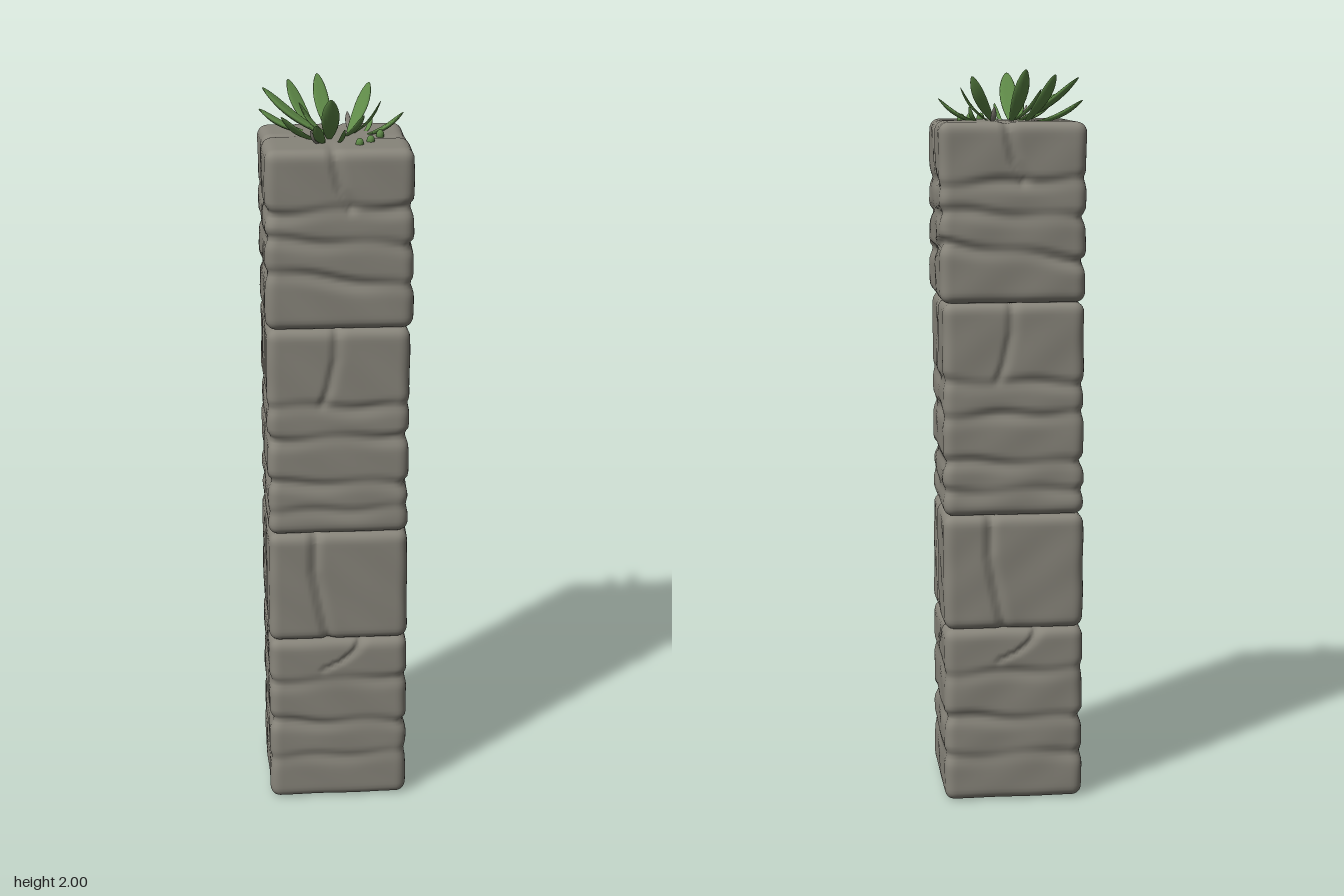
import * as THREE from 'three';
import { mergeVertices } from 'three/addons/utils/BufferGeometryUtils.js';

const clamp = THREE.MathUtils.clamp;
const TOP = 1.862;

// Each block: vertical range, half width, centre shift, strata seams [y, depth, tilt], crack path [u, y] top to bottom
const blocks = [
  { name: 'baseBlock', y0: 0, y1: 0.485, w: 0.193, shift: 0.004,
    seams: [[0.13, 0.007, 0.004], [0.235, 0.011, -0.005], [0.365, 0.008, 0.006]],
    crack: [[0.065, 0.49], [0.045, 0.45], [0.0, 0.415], [-0.04, 0.405]], crackDepth: 0.009 },
  { name: 'lowerBlock', y0: 0.485, y1: 0.802, w: 0.193, shift: 0.004,
    seams: [],
    crack: [[-0.07, 0.81], [-0.072, 0.69], [-0.055, 0.6], [-0.03, 0.48]], crackDepth: 0.014 },
  { name: 'middleBlock', y0: 0.802, y1: 1.382, w: 0.193, shift: 0.004,
    seams: [[0.872, 0.008, 0.003], [0.95, 0.011, -0.004], [1.08, 0.011, 0.003], [1.168, 0.010, -0.003]],
    crack: [[-0.008, 1.39], [-0.012, 1.3], [-0.03, 1.22], [-0.045, 1.18]], crackDepth: 0.009 },
  { name: 'topBlock', y0: 1.382, y1: TOP, w: 0.198, shift: 0.001,
    seams: [[1.52, 0.013, -0.024], [1.62, 0.010, -0.010], [1.705, 0.011, 0.008]],
    crack: [[-0.022, 1.87], [-0.012, 1.81], [0.0, 1.76], [0.03, 1.71]], crackDepth: 0.012 },
];

// Inward depth of the crack that repeats on all four faces
function crackDepthAt(b, x, y, z) {
  const u = Math.abs(z) >= Math.abs(x) ? (z > 0 ? x : -x) : (x > 0 ? -z : z);
  const p = b.crack;
  const last = p[p.length - 1];
  let i = 0;
  while (i < p.length - 2 && y < p[i + 1][1]) i++;
  const t = clamp((p[i][1] - y) / (p[i][1] - p[i + 1][1]), 0, 1);
  const cu = p[i][0] + (p[i + 1][0] - p[i][0]) * t;
  const fade = y < last[1] ? Math.exp(-(((last[1] - y) / 0.012) ** 2)) : 1;
  const d = u - cu;
  // sharp on one lip, soft on the other
  return b.crackDepth * fade * Math.exp(-((d / (d < 0 ? 0.009 : 0.017)) ** 2));
}

function seamDepthAt(b, x, y, z) {
  let depth = 0;
  b.seams.forEach(([sy, amount, tilt], k) => {
    const line = sy + tilt * clamp((x * z) / 0.038, -1, 1) + 0.005 * Math.sin(x * 24 + z * 19 + k * 2.1);
    const d = y - line;
    const vary = 0.8 + 0.3 * Math.sin(x * 17 - z * 23 + k * 1.7);
    depth += amount * vary * Math.exp(-((d / (d > 0 ? 0.011 : 0.02)) ** 2));
  });
  return depth;
}

// Worn stone block: finely divided box, rounded edges, carved seams and cracks
function makeBlock(b, material) {
  const h = b.y1 - b.y0, r = 0.028;
  const geo = new THREE.BoxGeometry(b.w * 2, h, b.w * 2, 44, Math.round(h / 0.0105), 44);
  const pos = geo.attributes.position;
  const p = new THREE.Vector3(), q = new THREE.Vector3();
  const mid = (b.y0 + b.y1) / 2;
  for (let i = 0; i < pos.count; i++) {
    p.fromBufferAttribute(pos, i);
    q.set(clamp(p.x, r - b.w, b.w - r), clamp(p.y, r - h / 2, h / 2 - r), clamp(p.z, r - b.w, b.w - r));
    p.sub(q).normalize().multiplyScalar(r).add(q);
    const y = p.y + mid;
    const reach = Math.max(Math.abs(p.x), Math.abs(p.z)) / b.w;
    const crack = crackDepthAt(b, p.x, y, p.z) * clamp((reach - 0.3) / 0.6, 0, 1);
    const wear = 0.0015 * (1 + Math.sin(p.x * 31 + y * 23) * Math.sin(p.z * 29 - y * 17));
    const s = 1 - (crack + seamDepthAt(b, p.x, y, p.z) + wear) / b.w;
    const sink = p.y > h / 2 - r ? crack * 0.5 : 0;
    pos.setXYZ(i, p.x * s - b.shift, y - sink, p.z * s + b.shift);
  }
  geo.deleteAttribute('uv');
  geo.deleteAttribute('normal');
  const smooth = mergeVertices(geo, 1e-5);
  smooth.computeVertexNormals();
  const mesh = new THREE.Mesh(smooth, material);
  mesh.name = b.name;
  return mesh;
}

// Fleshy leaf: a sphere stretched along a rising arc from base to tip
function makeLeaf([bx, bz, tx, tz, ty, width], material, name) {
  const geo = new THREE.SphereGeometry(1, 14, 14);
  geo.deleteAttribute('uv');
  geo.deleteAttribute('normal');
  const base = new THREE.Vector3(bx, TOP - 0.008, bz);
  const tip = new THREE.Vector3(tx, ty, tz);
  const along = tip.clone().sub(base).normalize();
  const side = new THREE.Vector3(-along.z, 0, along.x).negate().normalize();
  let normal = side.clone().cross(along);
  if (normal.y < 0) { side.negate(); normal = side.clone().cross(along); }
  const pos = geo.attributes.position;
  const p = new THREE.Vector3();
  for (let i = 0; i < pos.count; i++) {
    const x = pos.getX(i), t = (pos.getY(i) + 1) / 2, z = pos.getZ(i);
    const taper = (0.5 + 0.65 * t) * (1 - 0.45 * t ** 5);
    p.lerpVectors(base, tip, t)
      .addScaledVector(side, x * taper * width / 2)
      .addScaledVector(normal, z * taper * width * 0.17 + Math.abs(x) * width * 0.08 - 0.012 * Math.sin(Math.PI * t));
    pos.setXYZ(i, p.x, p.y, p.z);
  }
  const smooth = mergeVertices(geo, 1e-6);
  smooth.computeVertexNormals();
  const mesh = new THREE.Mesh(smooth, material);
  mesh.name = name;
  return mesh;
}

// Leaves: base x, base z, tip x, tip z, tip y, width
const leaves = [
  [-0.008, -0.055, -0.035, -0.18, 1.998, 0.05],
  [-0.045, -0.065, -0.115, -0.17, 1.985, 0.05],
  [-0.06, -0.075, -0.197, -0.106, 1.917, 0.05],
  [-0.02, -0.035, -0.188, -0.092, 1.977, 0.06],
  [-0.01, -0.017, -0.093, -0.042, 1.945, 0.034],
  [-0.045, 0.02, -0.147, 0.086, 1.93, 0.047],
  [-0.017, 0.026, -0.022, 0.168, 1.988, 0.056],
  [-0.035, 0.065, -0.062, 0.184, 1.925, 0.036],
  [0.015, -0.012, 0.074, 0.05, 1.925, 0.033],
  [0.042, -0.037, 0.125, -0.022, 1.95, 0.025],
  [0.07, -0.022, 0.184, -0.012, 1.92, 0.04],
  [0.036, -0.042, 0.104, -0.138, 1.98, 0.048],
  [0.075, -0.045, 0.107, -0.085, 1.90, 0.018],
  [0.0, 0.05, 0.016, 0.137, 1.905, 0.016],
];
const dryLeaves = [
  [0.05, -0.095, 0.045, -0.142, 1.90, 0.018],
  [-0.038, 0.075, -0.073, 0.122, 1.90, 0.016],
];
const sprouts = [[0.088, 0.083], [0.056, 0.119], [0.12, 0.01]];

export function createModel() {
  const stone = new THREE.MeshStandardMaterial({ color: 0x87847a });
  stone.name = 'weathered stone';
  const green = new THREE.MeshStandardMaterial({ color: 0x5f8a48 });
  green.name = 'leaf green';

  const model = new THREE.Group();
  model.name = 'stonePillar';
  const pillar = new THREE.Group();
  pillar.name = 'pillar';
  blocks.forEach((b) => pillar.add(makeBlock(b, stone)));

  const plant = new THREE.Group();
  plant.name = 'plant';
  leaves.forEach((l) => plant.add(makeLeaf(l, green, 'leaf')));
  dryLeaves.forEach((l) => plant.add(makeLeaf(l, stone, 'dryLeaf')));

  // Small buds pushing through the stone
  const budGeo = new THREE.SphereGeometry(0.011, 8, 6);
  sprouts.forEach(([x, z]) => {
    const bud = new THREE.Mesh(budGeo, green);
    bud.name = 'sprout';
    bud.position.set(x, TOP + 0.003, z);
    bud.scale.y = 1.3;
    plant.add(bud);
  });

  model.add(pillar, plant);
  return model;
}
